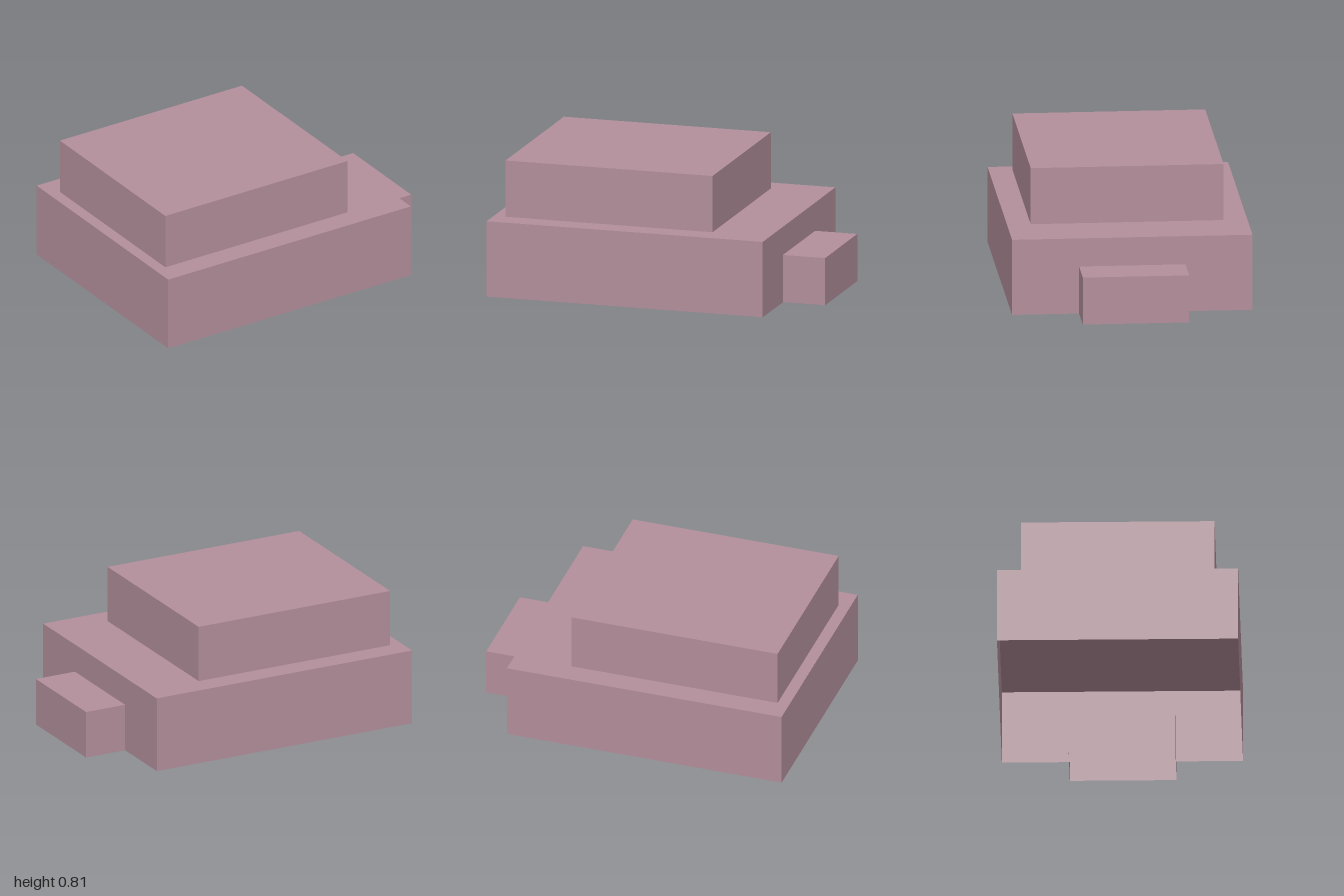
import * as THREE from 'three';

// Box without its underside, given by its extents
function openBox(name, material, [x0, x1], [y0, y1], halfDepth) {
  const geometry = new THREE.BoxGeometry(x1 - x0, y1 - y0, halfDepth * 2);
  const index = Array.from(geometry.index.array);
  index.splice(18, 6); // fourth face is the underside
  geometry.setIndex(index);
  geometry.clearGroups();
  const mesh = new THREE.Mesh(geometry, material);
  mesh.name = name;
  mesh.position.set((x0 + x1) / 2, (y0 + y1) / 2, 0);
  return mesh;
}

export function createModel() {
  const group = new THREE.Group();
  group.name = 'building';
  const wall = new THREE.MeshStandardMaterial({ color: 0xb38f9b, side: THREE.DoubleSide });
  wall.name = 'dusty mauve';

  group.add(
    // wide ground storey
    openBox('lowerStorey', wall, [-1, 0.735], [0, 0.465], 0.723),
    // smaller storey set back on the roof
    openBox('upperStorey', wall, [-0.927, 0.374], [0.465, 0.812], 0.58),
    // low porch that reaches a little way inside the ground storey
    openBox('porch', wall, [0.6, 1], [0, 0.291], 0.32),
  );
  return group;
}
